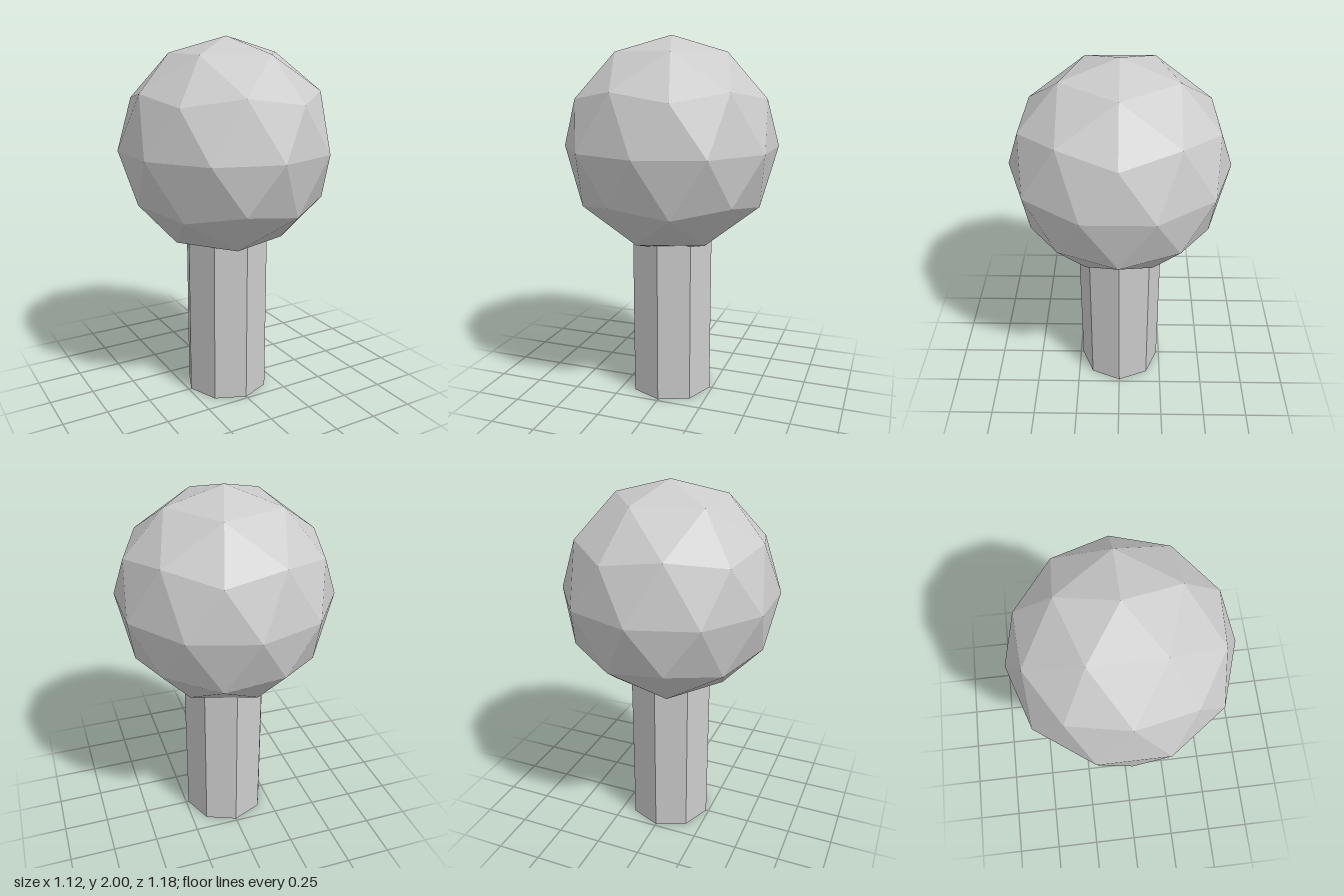
import * as THREE from 'three';

export function createModel() {
  const group = new THREE.Group();
  const material = new THREE.MeshStandardMaterial({ color: 0xcccccc, flatShading: true });

  // Octagonal trunk, its top hidden inside the crown
  const trunkHeight = 1.176;
  const trunk = new THREE.Mesh(
    new THREE.CylinderGeometry(0.235, 0.235, trunkHeight, 8), material);
  trunk.name = 'trunk';
  trunk.position.y = trunkHeight / 2;

  // Faceted crown: subdivided icosahedron turned so one corner points straight up
  const radius = 0.588;
  const goldenRatio = (1 + Math.sqrt(5)) / 2;
  const crownGeometry = new THREE.IcosahedronGeometry(radius, 1);
  crownGeometry.rotateX(-Math.atan(goldenRatio));
  crownGeometry.rotateY(Math.PI / 2);
  const crown = new THREE.Mesh(crownGeometry, material);
  crown.name = 'crown';
  crown.position.y = 2 - radius;

  group.add(trunk, crown);
  return group;
}
